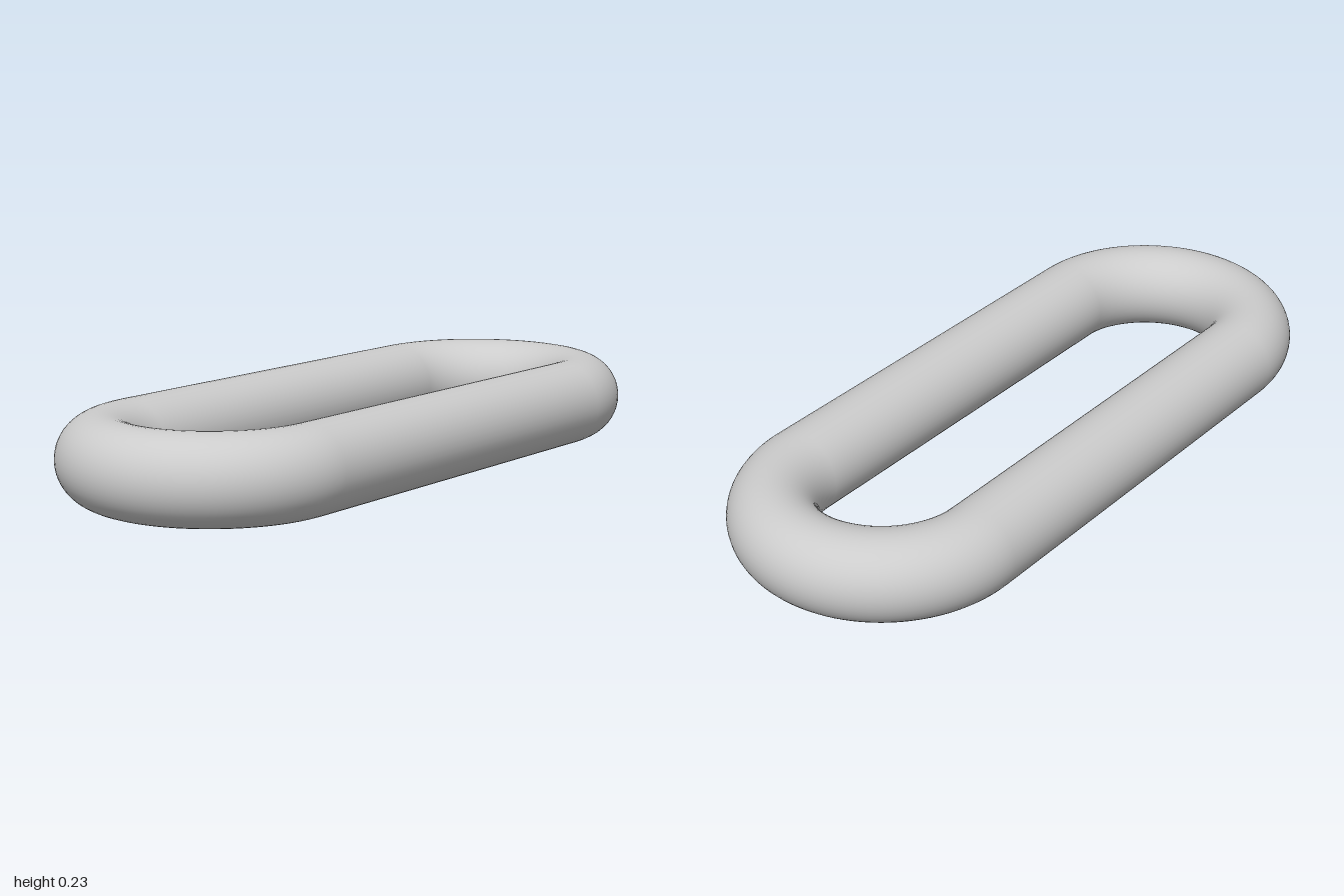
import * as THREE from 'three';

// Oblong chain link lying flat: two half-torus bends joined by two straight bars
export function createModel() {
  const r = 0.1175;         // rod radius
  const bend = 0.2925;      // centreline radius of the bends
  const half = 1 - bend - r; // half length of the straight bars
  const sides = 48;

  const group = new THREE.Group();
  group.name = 'chainLink';
  const material = new THREE.MeshStandardMaterial({ color: 0xcccccc });

  // Half ring opening towards -x, laid in the ground plane
  const bendGeometry = new THREE.TorusGeometry(bend, r, sides, 48, Math.PI)
    .rotateZ(-Math.PI / 2)
    .rotateX(-Math.PI / 2);
  const barGeometry = new THREE.CylinderGeometry(r, r, 2 * half, sides, 1, true)
    .rotateZ(Math.PI / 2);

  for (const side of [1, -1]) {
    const end = new THREE.Mesh(bendGeometry, material);
    end.name = side > 0 ? 'leftBend' : 'rightBend';
    end.position.set(side * half, r, 0);
    end.rotation.y = side > 0 ? 0 : Math.PI;
    group.add(end);

    const bar = new THREE.Mesh(barGeometry, material);
    bar.name = side > 0 ? 'frontBar' : 'backBar';
    bar.position.set(0, r, side * bend);
    group.add(bar);
  }
  return group;
}
